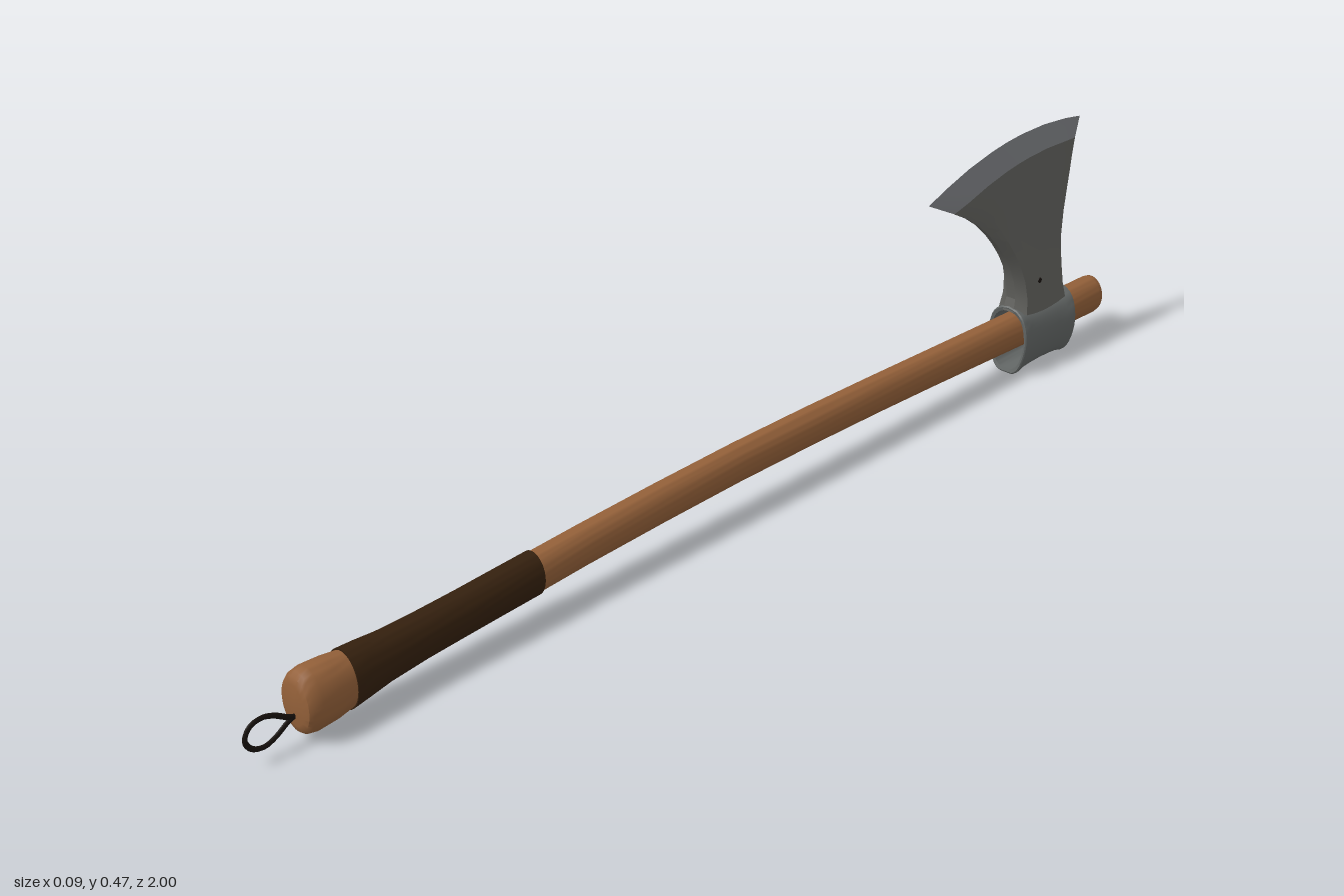
import * as THREE from 'three';
import { toCreasedNormals } from 'three/addons/utils/BufferGeometryUtils.js';

const mat = (name, color, side = THREE.FrontSide) =>
  Object.assign(new THREE.MeshStandardMaterial({ color, side }), { name });

// Skin a series of closed rings (arrays of [x, y, z]); loop joins the last ring to the first
function loft(rings, crease = 0.6, loop = false) {
  const n = rings[0].length, index = [];
  const last = loop ? rings.length : rings.length - 1;
  for (let k = 0; k < last; k++) {
    const k2 = (k + 1) % rings.length;
    for (let i = 0; i < n; i++) {
      const j = (i + 1) % n;
      const a = k * n + i, b = k * n + j, c = k2 * n + i, d = k2 * n + j;
      index.push(a, b, c, b, d, c);
    }
  }
  const g = new THREE.BufferGeometry();
  g.setAttribute('position', new THREE.Float32BufferAttribute(rings.flat(2), 3));
  g.setIndex(index);
  return toCreasedNormals(g, crease);
}

// Oval ring from [z, centreY, radiusX, radiusY]
const oval = ([z, cy, rx, ry], n = 40) => Array.from({ length: n }, (_, i) => {
  const a = (i / n) * Math.PI * 2;
  return [rx * Math.cos(a), cy + ry * Math.sin(a), z];
});

// Collar outline: half-width by height, mirrored, scaled about its centre
const COLLAR = new THREE.CatmullRomCurve3([
  [0, 0], [0.016, 0.001], [0.027, 0.01], [0.039, 0.038], [0.044, 0.07],
  [0.041, 0.096], [0.033, 0.117], [0.018, 0.13], [0, 0.134],
].map(([x, y]) => new THREE.Vector3(x, y, 0))).getPoints(20);
const COLLAR_RING = [...COLLAR, ...COLLAR.slice(1, -1).reverse().map(p => new THREE.Vector3(-p.x, p.y, 0))];
const collarRing = ([z, s]) => COLLAR_RING.map(p => [p.x * s, 0.067 + (p.y - 0.067) * s, z]);

// Blade row: front and back edge points [z, y], arch, half-thickness, edge half-thickness
const U = [0, 0.1, 0.25, 0.4, 0.5, 0.6, 0.75, 0.9, 1];
function bladeRing([front, back, bow, t, e]) {
  const side = U.map(u => [
    u === 0 || u === 1 ? e : t,
    front[1] + (back[1] - front[1]) * u + bow * 4 * u * (1 - u),
    front[0] + (back[0] - front[0]) * u,
  ]);
  return [...side, ...side.map(([x, y, z]) => [-x, y, z]).reverse()];
}

export function createModel() {
  const wood = mat('wood', 0x936039);
  const leather = mat('dark leather', 0x34200e);
  const steel = mat('forged steel', 0x62625e, THREE.DoubleSide);
  const collarSteel = mat('collar steel', 0x636766);
  const edgeSteel = mat('ground edge steel', 0x808286, THREE.DoubleSide);
  const cordMat = mat('cord', 0x17110d);
  const wedgeMat = mat('wedge wood', 0x684226);

  const model = new THREE.Group();
  model.name = 'axe';
  const add = (name, geometry, material) => {
    const m = new THREE.Mesh(geometry, material);
    m.name = name;
    model.add(m);
    return m;
  };

  // Gently arched haft with rounded ends and a swollen knob
  add('haft', loft([
    [-1, 0.076, 0, 0], [-1, 0.076, 0.024, 0.031], [-0.995, 0.076, 0.028, 0.036],
    [-0.985, 0.076, 0.029, 0.038], [-0.85, 0.079, 0.029, 0.037], [-0.7, 0.083, 0.027, 0.036],
    [-0.5, 0.089, 0.026, 0.035], [-0.35, 0.093, 0.025, 0.035], [-0.18, 0.096, 0.025, 0.035],
    [0, 0.097, 0.025, 0.035], [0.18, 0.094, 0.025, 0.035], [0.35, 0.089, 0.025, 0.035],
    [0.46, 0.084, 0.026, 0.035], [0.6, 0.078, 0.026, 0.035], [0.75, 0.072, 0.028, 0.039],
    [0.82, 0.068, 0.033, 0.047], [0.85, 0.067, 0.036, 0.052], [0.885, 0.067, 0.037, 0.054],
    [0.9, 0.067, 0.035, 0.051], [0.907, 0.067, 0.031, 0.045], [0.91, 0.067, 0.022, 0.034],
    [0.911, 0.067, 0, 0],
  ].map(s => oval(s)), 0.7), wood);

  // Leather grip wrapping
  add('gripWrap', loft([
    [0.455, 0.084, 0.025, 0.034], [0.455, 0.084, 0.0285, 0.038], [0.53, 0.081, 0.0285, 0.038],
    [0.6, 0.078, 0.0285, 0.038], [0.68, 0.075, 0.0288, 0.039], [0.75, 0.072, 0.0305, 0.042],
    [0.79, 0.07, 0.033, 0.047], [0.822, 0.068, 0.035, 0.05], [0.822, 0.068, 0.03, 0.044],
  ].map(s => oval(s))), leather);

  // Wrist loop: a flattened cord in the middle plane
  const loopPath = new THREE.CatmullRomCurve3([
    [0.9, 0.052], [0.92, 0.046], [0.945, 0.031], [0.965, 0.025], [0.986, 0.032], [0.996, 0.05],
    [0.986, 0.068], [0.965, 0.073], [0.945, 0.067], [0.92, 0.052], [0.9, 0.045],
  ].map(([z, y]) => new THREE.Vector3(0, y, z)));
  add('wristLoop', new THREE.TubeGeometry(loopPath, 60, 0.0045, 8).scale(0.6, 1, 1), cordMat);

  // Wedge showing in the head end of the haft
  add('wedge', new THREE.BoxGeometry(0.008, 0.058, 0.006).translate(0, 0.076, -0.9985), wedgeMat);

  // Hollow collar with slightly flared lips
  add('collar', loft([
    [-0.888, 0.96], [-0.886, 1], [-0.878, 1], [-0.865, 0.95], [-0.84, 0.92], [-0.81, 0.91],
    [-0.78, 0.92], [-0.755, 0.95], [-0.742, 1], [-0.734, 1], [-0.732, 0.96],
    [-0.734, 0.86], [-0.81, 0.83], [-0.886, 0.86],
  ].map(collarRing), 0.6, true), collarSteel);

  // Blade body, sweeping forward into a beard
  const bevelLine = [[-0.555, 0.37], [-0.907, 0.417], 0.022, 0.0062, 0.002];
  add('blade', loft([
    [[-0.732, 0.125], [-0.88, 0.125], -0.01, 0.032, 0.012],
    [[-0.738, 0.15], [-0.874, 0.15], 0, 0.028, 0.01],
    [[-0.733, 0.185], [-0.873, 0.18], 0, 0.0245, 0.009],
    [[-0.72, 0.216], [-0.873, 0.21], 0.002, 0.0215, 0.008],
    [[-0.702, 0.245], [-0.876, 0.245], 0.004, 0.0185, 0.007],
    [[-0.68, 0.273], [-0.88, 0.283], 0.007, 0.0155, 0.006],
    [[-0.655, 0.3], [-0.887, 0.32], 0.011, 0.0125, 0.005],
    [[-0.625, 0.327], [-0.894, 0.355], 0.015, 0.0102, 0.004],
    [[-0.592, 0.35], [-0.9, 0.387], 0.019, 0.0082, 0.003],
    bevelLine,
  ].map(bladeRing), 0.35), steel);

  // Ground cutting edge
  add('cuttingEdge', loft([
    bevelLine,
    [[-0.485, 0.405], [-0.92, 0.455], 0.033, 0.0003, 0.0003],
  ].map(bladeRing), 0.35), edgeSteel);

  // Small rivet through the blade neck
  add('rivet', new THREE.CylinderGeometry(0.005, 0.005, 0.053, 12)
    .rotateZ(Math.PI / 2).translate(0, 0.176, -0.79), cordMat);

  return model;
}
